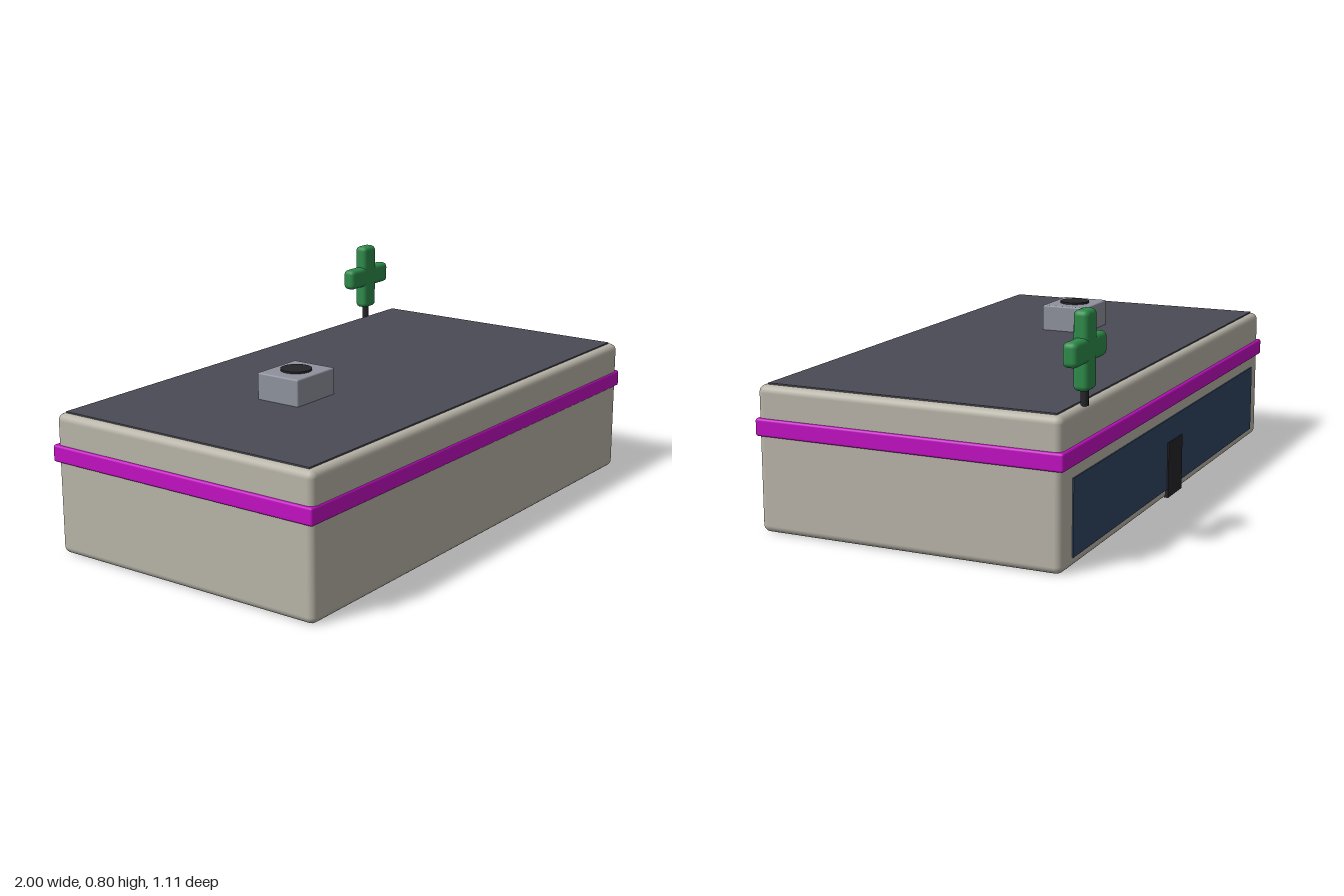
import * as THREE from 'three';
import { RoundedBoxGeometry } from 'three/addons/geometries/RoundedBoxGeometry.js';

const mat = (color) => new THREE.MeshStandardMaterial({ color });
const WALL = mat(0xb8b4a8), ROOF = mat(0x4a4a55), BAND = mat(0xc20fc2), METAL = mat(0x8e929c);
const DARK = mat(0x25252a), GLASS = mat(0x2f4560), GREEN = mat(0x2e8b4a);

export function createModel() {
  const model = new THREE.Group();
  const add = (parent, name, geometry, material, x, y, z) => {
    const mesh = new THREE.Mesh(geometry, material);
    mesh.name = name;
    mesh.position.set(x, y, z);
    parent.add(mesh);
    return mesh;
  };
  const rounded = (w, h, d, r) => new RoundedBoxGeometry(w, h, d, 3, r);
  const box = (w, h, d) => new THREE.BoxGeometry(w, h, d);

  // Building shell, stripe around it and flat roof
  add(model, 'walls', rounded(1.98, 0.5, 1.085, 0.025), WALL, 0, 0.25, 0.008);
  add(model, 'stripe', rounded(2, 0.06, 1.1, 0.008), BAND, 0, 0.36, 0.005);
  add(model, 'roof', box(1.93, 0.02, 1.03), ROOF, 0, 0.495, 0.006);

  // Shop window and door on the back wall
  add(model, 'shopWindow', box(1.81, 0.255, 0.012), GLASS, 0, 0.163, -0.533);
  add(model, 'door', box(0.14, 0.2, 0.016), DARK, 0, 0.105, -0.536);

  // Rooftop ventilation unit with its fan
  const vent = new THREE.Group();
  vent.name = 'ventilationUnit';
  vent.position.set(-0.365, 0.5, 0);
  add(vent, 'ventBox', rounded(0.21, 0.1, 0.176, 0.006), METAL, 0, 0.05, 0.006);
  add(vent, 'ventFan', new THREE.CylinderGeometry(0.055, 0.055, 0.014, 24), DARK, 0, 0.1, 0.006);
  model.add(vent);

  // Green cross sign on a short post
  const sign = new THREE.Group();
  sign.name = 'crossSign';
  sign.position.set(0.795, 0.5, -0.527);
  add(sign, 'signPost', new THREE.CylinderGeometry(0.013, 0.013, 0.08, 12), DARK, 0, 0.035, 0);
  add(sign, 'crossUpright', rounded(0.08, 0.255, 0.054, 0.018), GREEN, 0, 0.172, 0);
  add(sign, 'crossBar', rounded(0.25, 0.08, 0.052, 0.018), GREEN, 0, 0.174, 0);
  model.add(sign);

  return model;
}
